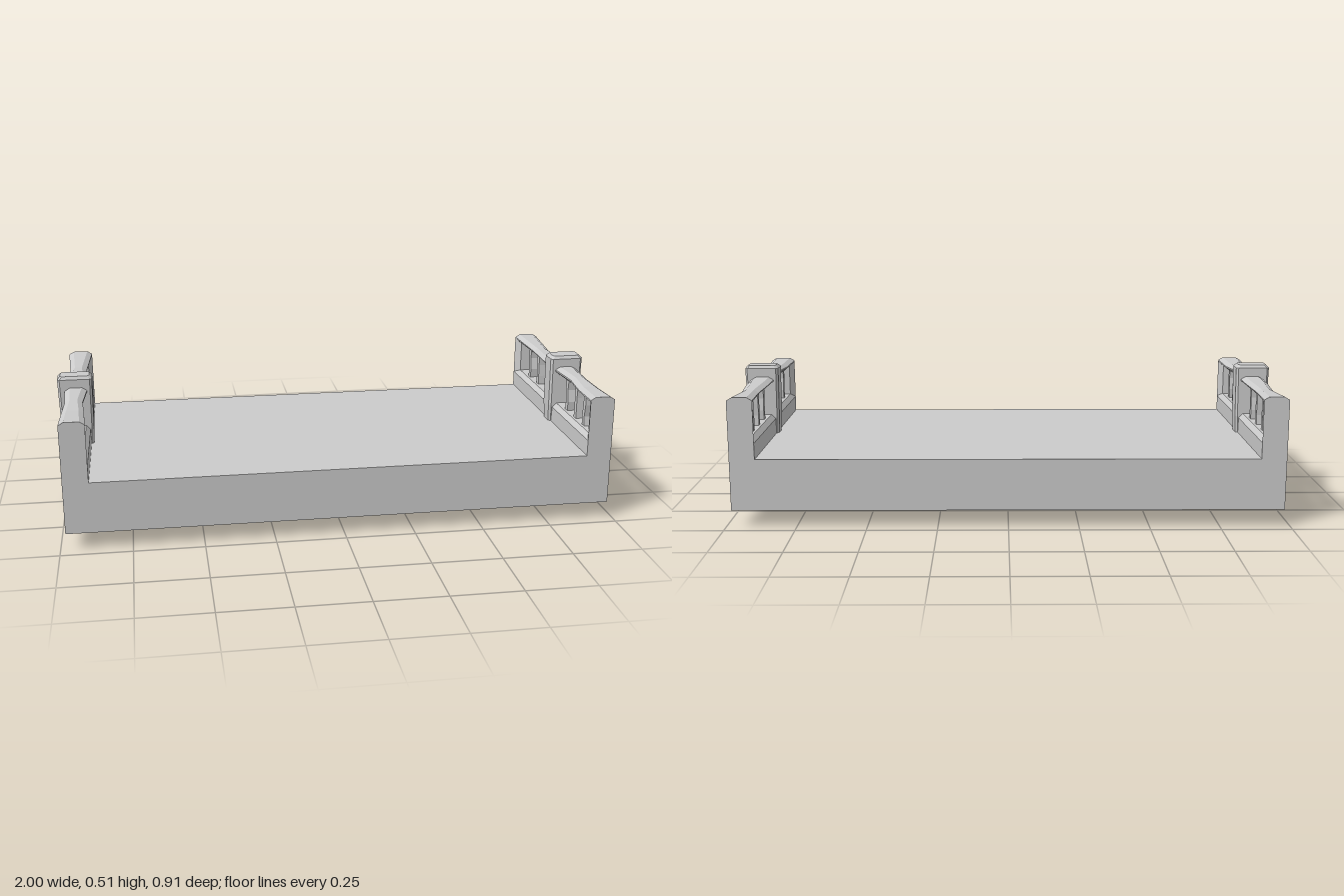
import * as THREE from 'three';

const material = new THREE.MeshStandardMaterial({ color: 0xcccccc, flatShading: true });

// Joins rings of [x, y, z] points into a closed, outward-facing faceted solid.
function loft(rings) {
  const tris = [];
  const n = rings[0].length;
  for (let i = 0; i + 1 < rings.length; i++) {
    for (let j = 0; j < n; j++) {
      const k = (j + 1) % n;
      const [a, b, c, d] = [rings[i][j], rings[i][k], rings[i + 1][k], rings[i + 1][j]];
      tris.push([a, b, c], [a, c, d]);
    }
  }
  const last = rings[rings.length - 1];
  for (let j = 1; j + 1 < n; j++) {
    tris.push([rings[0][0], rings[0][j + 1], rings[0][j]], [last[0], last[j], last[j + 1]]);
  }
  // the sign of the volume tells which way the corners run
  let volume = 0;
  const [u, v, w] = [new THREE.Vector3(), new THREE.Vector3(), new THREE.Vector3()];
  for (const [a, b, c] of tris) volume += u.set(...a).dot(v.set(...b).cross(w.set(...c)));
  const points = tris.flatMap(([a, b, c]) => (volume < 0 ? [a, c, b] : [a, b, c]));
  const geometry = new THREE.BufferGeometry();
  geometry.setAttribute('position', new THREE.Float32BufferAttribute(points.flat(), 3));
  geometry.computeVertexNormals();
  return geometry;
}

// Rectangle with cut corners, as [p, q] pairs.
function cutRect(p0, p1, q0, q1, c) {
  return [[p0 + c, q0], [p1 - c, q0], [p1, q0 + c], [p1, q1 - c],
    [p1 - c, q1], [p0 + c, q1], [p0, q1 - c], [p0, q0 + c]];
}

// One railing; side is +1 or -1 and mirrors it in x.
function createRailing(side) {
  const group = new THREE.Group();
  group.name = side > 0 ? 'leftRailing' : 'rightRailing';
  const add = (name, rings) => {
    const mirrored = rings.map((ring) => ring.map(([x, y, z]) => [side * x, y, z]));
    const mesh = new THREE.Mesh(loft(mirrored), material);
    mesh.name = name;
    group.add(mesh);
  };

  // solid lower wall: [z, lift of the outer lower edge]
  const wall = [[0.455, 0], [0.07, 0.026], [0.03, 0], [-0.02, 0], [-0.27, 0.023], [-0.455, 0]];
  add('parapetWall', wall.map(([z, lift]) => [
    [0.89, 0.06], [0.98, 0.06 + lift], [0.98, 0.303],
    [0.965, 0.32], [0.905, 0.32], [0.89, 0.303],
  ].map(([x, y]) => [x, y, z])));

  // uprights closing both ends, bevelled toward the openings
  for (const end of [1, -1]) {
    add('endUpright', [0.303, 0.45].map((y) => [
      [0.89, 0.455], [0.98, 0.455], [0.965, 0.413], [0.905, 0.413],
    ].map(([x, z]) => [x, y, z * end])));
  }

  // crooked top rail: [z, bottom, top, inner x, outer x]
  const rail = [
    [0.455, 0.436, 0.466, 0.89, 0.98], [0.31, 0.432, 0.461, 0.897, 0.976],
    [0.2, 0.436, 0.466, 0.905, 0.968], [0.02, 0.436, 0.466, 0.892, 0.976],
    [-0.1, 0.435, 0.462, 0.895, 0.978], [-0.25, 0.43, 0.457, 0.905, 0.968],
    [-0.455, 0.436, 0.466, 0.89, 0.98],
  ];
  add('topRail', rail.map(([z, y0, y1, x0, x1]) => [
    [x0 + 0.015, y0], [x1 - 0.015, y0], [x1, y0 + 0.013], [x1, y1 - 0.011],
    [x1 - 0.018, y1], [x0 + 0.018, y1], [x0, y1 - 0.011], [x0, y0 + 0.013],
  ].map(([x, y]) => [x, y, z])));

  // bent balusters: [z, sideways bend]
  const balusters = [[0.33, -0.005], [0.24, 0.001], [0.142, 0.006],
    [-0.107, -0.004], [-0.212, 0.002], [-0.318, 0.006]];
  for (const [z, bend] of balusters) {
    const levels = [[0.315, 0, 0.013], [0.355, bend, 0.011], [0.4, -bend * 0.5, 0.011], [0.445, 0, 0.013]];
    add('baluster', levels.map(([y, dz, half]) => [
      [0.915, z + dz - half], [0.955, z + dz - half],
      [0.955, z + dz + half], [0.915, z + dz + half],
    ].map(([x, zz]) => [x, y, zz])));
  }

  // central post, waisted in the middle: [y, z min, z max, x min, x max]
  const post = [
    [0, -0.012, 0.048, 0.883, 0.992], [0.01, -0.02, 0.056, 0.875, 1],
    [0.06, -0.018, 0.052, 0.877, 0.998], [0.225, -0.01, 0.045, 0.882, 0.988],
    [0.31, -0.02, 0.056, 0.877, 0.995], [0.497, -0.02, 0.056, 0.875, 1],
    [0.508, -0.012, 0.048, 0.885, 0.99],
  ];
  add('centrePost', post.map(([y, z0, z1, x0, x1]) =>
    cutRect(x0, x1, z0, z1, 0.008).map(([x, z]) => [x, y, z])));
  return group;
}

export function createModel() {
  const model = new THREE.Group();
  model.name = 'bridgeSegment';

  // flat deck between the railings
  const deck = new THREE.Mesh(new THREE.BoxGeometry(1.79, 0.185, 0.91), material);
  deck.name = 'deck';
  deck.position.y = 0.1525;
  model.add(deck);

  model.add(createRailing(1), createRailing(-1));
  return model;
}
